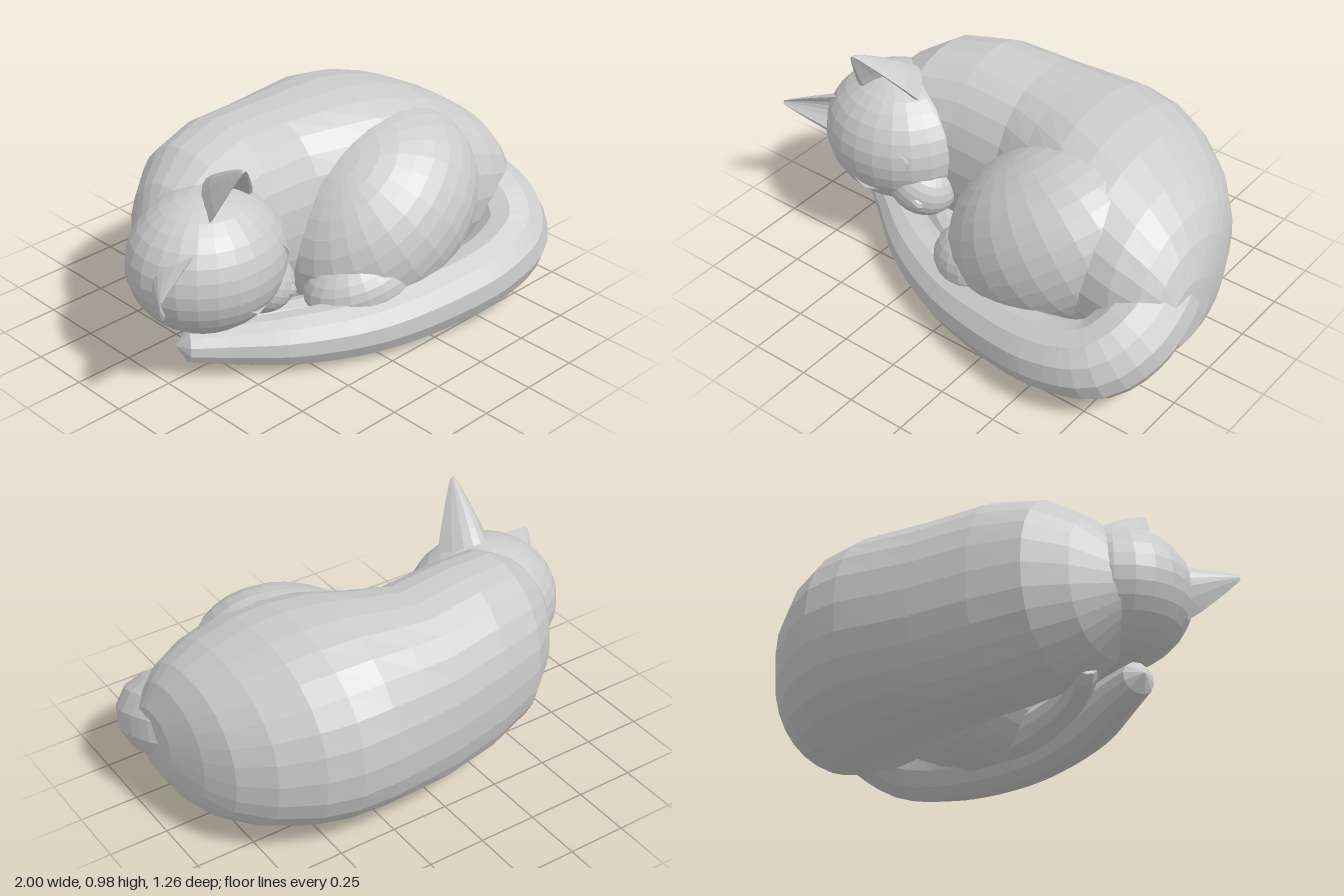
import * as THREE from 'three';

const material = new THREE.MeshStandardMaterial({ color: 0xcccccc, flatShading: true, side: THREE.DoubleSide });
const V = (x, y, z) => new THREE.Vector3(x, y, z);

function mesh(name, geometry) {
  const m = new THREE.Mesh(geometry, material);
  m.name = name;
  return m;
}

function ellipsoid(name, center, radii, tilt = [0, 0, 0], detail = 20) {
  const m = mesh(name, new THREE.SphereGeometry(1, detail, Math.round(detail * 0.65)));
  m.position.set(...center);
  m.scale.set(...radii);
  m.rotation.set(...tilt);
  return m;
}

// Skin a list of closed rings with equal point counts
function skin(rings) {
  const n = rings[0].length, index = [];
  for (let i = 0; i < rings.length - 1; i++) {
    for (let j = 0; j < n; j++) {
      const a = i * n + j, b = i * n + (j + 1) % n;
      index.push(a, a + n, b, b, a + n, b + n);
    }
  }
  const g = new THREE.BufferGeometry().setFromPoints(rings.flat());
  g.setIndex(index);
  g.computeVertexNormals();
  return g;
}

// Tube whose radius follows the list given with the path points: [x, y, z, r]
function taperedTube(name, points, segments, sides) {
  const curve = new THREE.CatmullRomCurve3(points.map(p => V(p[0], p[1], p[2])));
  const g = new THREE.TubeGeometry(curve, segments, 1, sides);
  const pos = g.attributes.position, v = V(0, 0, 0);
  for (let i = 0; i <= segments; i++) {
    const c = curve.getPointAt(i / segments);
    const t = curve.getUtoTmapping(i / segments) * (points.length - 1);
    const k = Math.min(Math.floor(t), points.length - 2);
    const r = THREE.MathUtils.lerp(points[k][3], points[k + 1][3], t - k);
    for (let j = 0; j <= sides; j++) {
      const id = i * (sides + 1) + j;
      v.fromBufferAttribute(pos, id).sub(c).multiplyScalar(r).add(c);
      pos.setXYZ(id, v.x, v.y, v.z);
    }
  }
  g.computeVertexNormals();
  return mesh(name, g);
}

// Torso: slightly squared oval sections [x, zBack, zFront, yBottom, yTop]
function torso() {
  const sections = [
    [-0.74, -0.12, -0.12, 0.48, 0.48], [-0.72, -0.22, 0.02, 0.34, 0.62], [-0.6, -0.38, 0.1, 0.2, 0.77],
    [-0.46, -0.495, 0.13, 0.12, 0.86], [-0.25, -0.555, 0.1, 0.07, 0.895], [0, -0.595, 0.1, 0.05, 0.88],
    [0.15, -0.615, 0.17, 0.05, 0.89], [0.32, -0.635, 0.27, 0.05, 0.905], [0.47, -0.625, 0.34, 0.05, 0.89],
    [0.6, -0.575, 0.37, 0.05, 0.855], [0.75, -0.47, 0.37, 0.07, 0.78], [0.86, -0.34, 0.34, 0.1, 0.7],
    [0.92, -0.2, 0.3, 0.14, 0.62], [0.965, -0.02, 0.26, 0.22, 0.5], [0.975, 0.12, 0.12, 0.36, 0.36]
  ];
  const soft = c => Math.sign(c) * Math.pow(Math.abs(c), 0.9);
  return skin(sections.map(([x, zb, zf, yb, yt]) => Array.from({ length: 26 }, (_, j) => {
    const a = j / 26 * Math.PI * 2;
    return V(x, (yb + yt) / 2 + (yt - yb) / 2 * soft(Math.sin(a)), (zb + zf) / 2 + (zf - zb) / 2 * soft(Math.cos(a)));
  })));
}

// Ear: a rounded back shell and a hollow front, drawn together at the tip
function ear(name, tip, a, b, back) {
  const middle = a.clone().add(b).multiplyScalar(0.5);
  const outer = new THREE.QuadraticBezierCurve3(a, back, b).getPoints(8);
  const inset = middle.clone().lerp(back, 0.62);
  const a2 = a.clone().lerp(middle, 0.14), b2 = b.clone().lerp(middle, 0.14);
  const inner = new THREE.QuadraticBezierCurve3(b2, inset, a2).getPoints(8);
  const ring = [...outer, ...inner];
  const rings = [[0, 1], [0.25, 0.83], [0.5, 0.6], [0.75, 0.36], [0.93, 0.17], [1, 0.07], [1, 0]].map(([t, s]) => {
    const c = middle.clone().lerp(tip, t);
    return ring.map(p => p.clone().sub(middle).multiplyScalar(s).add(c));
  });
  return mesh(name, skin(rings));
}

// Fine line laid over the front of an ellipsoid, from [x, y] points
function crease(name, center, radii, points) {
  return taperedTube(name, points.map(([x, y], i) => {
    const dx = (x - center[0]) / radii[0], dy = (y - center[1]) / radii[1];
    const z = center[2] + radii[2] * Math.sqrt(Math.max(0, 1 - dx * dx - dy * dy));
    return [x, y, z, i % (points.length - 1) ? 0.011 : 0];
  }), 10, 5);
}

export function createModel() {
  const cat = new THREE.Group();
  cat.name = 'sleepingCat';

  // Curled body
  cat.add(mesh('torso', torso()));
  cat.add(ellipsoid('haunch', [0.31, 0.43, 0.1], [0.49, 0.36, 0.39], [0, 0, 0.62], 26));
  cat.add(ellipsoid('knee', [0.04, 0.25, 0.26], [0.23, 0.15, 0.17], [0, -0.5, 0.25]));

  // Head resting on the tail
  const headC = [-0.55, 0.51, 0.02], headR = [0.33, 0.29, 0.3];
  const head = new THREE.Group();
  head.name = 'head';
  head.add(ellipsoid('skull', headC, headR, [0, 0, 0], 24));
  head.add(ellipsoid('muzzle', [-0.37, 0.37, 0.11], [0.16, 0.13, 0.145], [0, 0, -0.5]));
  head.add(ellipsoid('nose', [-0.31, 0.35, 0.225], [0.04, 0.03, 0.025], [0, 0, -0.6], 8));
  head.add(crease('rightEyelid', headC, headR, [[-0.58, 0.4], [-0.53, 0.365], [-0.47, 0.37]]));
  head.add(crease('leftEyelid', headC, headR, [[-0.37, 0.59], [-0.335, 0.55], [-0.33, 0.51]]));
  head.add(ear('rightEar', V(-0.985, 0.59, 0.27), V(-0.84, 0.38, 0.1), V(-0.72, 0.67, 0.17), V(-0.74, 0.56, -0.24)));
  head.add(ear('leftEar', V(-0.57, 0.98, 0.27), V(-0.65, 0.74, 0.15), V(-0.38, 0.76, 0.1), V(-0.5, 0.9, -0.16)));
  cat.add(head);

  // Tail swept round the front
  cat.add(taperedTube('tail', [
    [0.76, 0.42, -0.02, 0.14], [0.82, 0.38, 0.14, 0.17], [0.84, 0.32, 0.32, 0.165], [0.77, 0.25, 0.44, 0.16],
    [0.58, 0.2, 0.485, 0.145], [0.3, 0.155, 0.445, 0.14], [0, 0.128, 0.37, 0.126], [-0.3, 0.128, 0.235, 0.113],
    [-0.53, 0.14, 0.09, 0.088], [-0.67, 0.152, 0.01, 0.066], [-0.695, 0.155, -0.005, 0.045], [-0.7, 0.155, -0.008, 0]
  ], 44, 12));

  // Leg tucked between the body and the tail
  cat.add(taperedTube('tuckedLeg', [
    [0.3, 0.14, 0.24, 0.09], [0, 0.13, 0.2, 0.085], [-0.22, 0.13, 0.1, 0.07], [-0.4, 0.14, -0.02, 0.06],
    [-0.48, 0.17, -0.1, 0.06], [-0.51, 0.2, -0.13, 0.045], [-0.515, 0.21, -0.14, 0]
  ], 26, 10));

  return cat;
}
